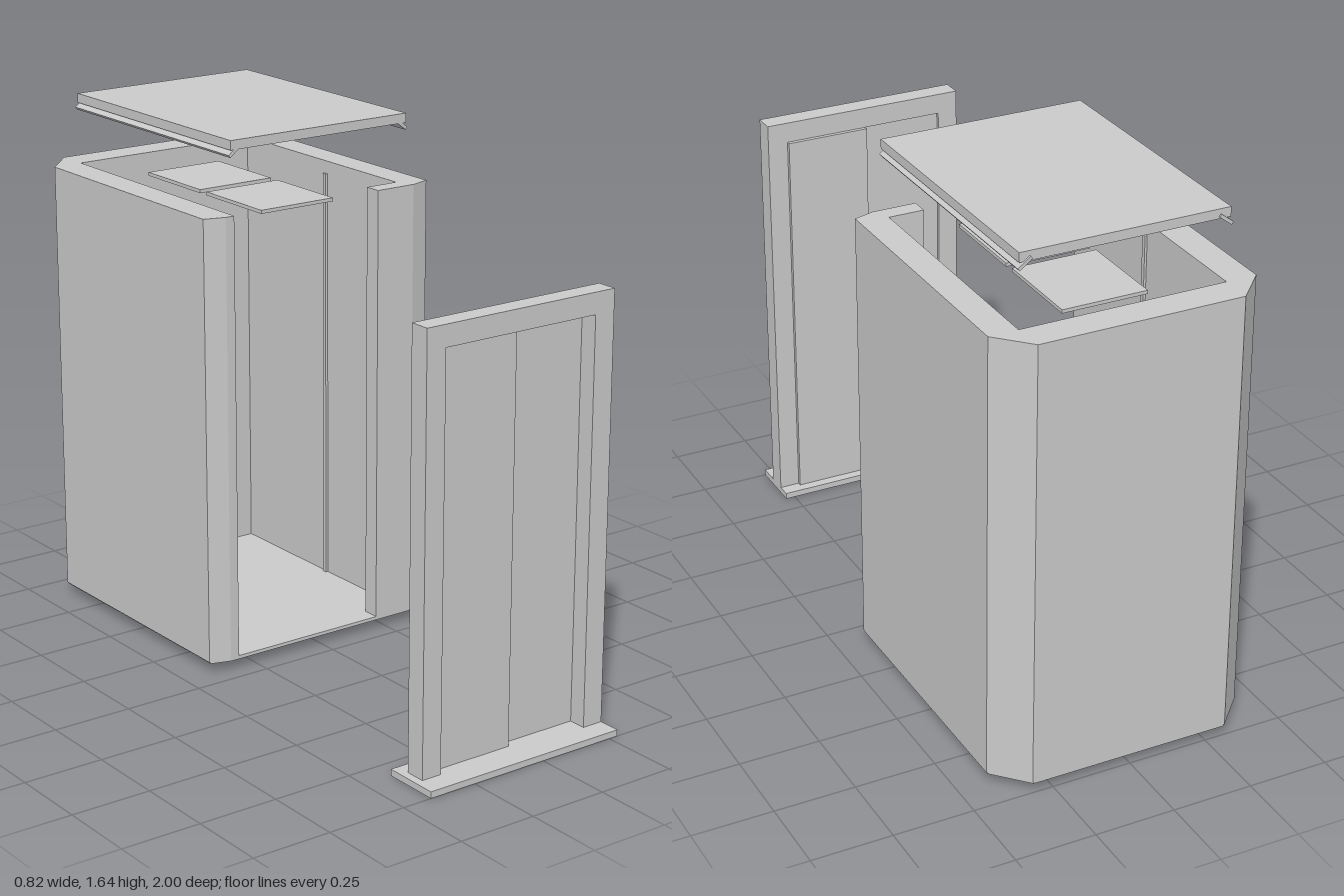
import * as THREE from 'three';

const material = new THREE.MeshStandardMaterial({ color: 0xcccccc, flatShading: true });

// Box given by its limits on each axis
function box(name, [x0, x1], [y0, y1], [z0, z1]) {
  const mesh = new THREE.Mesh(new THREE.BoxGeometry(x1 - x0, y1 - y0, z1 - z0), material);
  mesh.position.set((x0 + x1) / 2, (y0 + y1) / 2, (z0 + z1) / 2);
  mesh.name = name;
  return mesh;
}

// Floor-plan outline of [x, z] points, raised from y0 to y1
function prism(name, plan, y0, y1) {
  const shape = new THREE.Shape(plan.map(([x, z]) => new THREE.Vector2(x, -z)));
  const geometry = new THREE.ExtrudeGeometry(shape, { depth: y1 - y0, bevelEnabled: false });
  geometry.rotateX(-Math.PI / 2).translate(0, y0, 0);
  const mesh = new THREE.Mesh(geometry, material);
  mesh.name = name;
  return mesh;
}

function createCabin() {
  const cabin = new THREE.Group();
  cabin.name = 'cabin';

  // Chamfered outside, shared by the walls and the floor
  const outside = [
    [0.345, -0.055], [0.41, -0.075], [0.41, -0.9], [0.315, -1],
    [-0.315, -1], [-0.41, -0.9], [-0.41, -0.075], [-0.345, -0.055],
  ];
  // Inside of the walls, with a return panel beside the entrance
  const inside = [
    [-0.315, -0.055], [-0.315, -0.9], [0.32, -0.9], [0.32, -0.11], [0.21, -0.11], [0.21, -0.055],
  ];
  cabin.add(prism('cabinWalls', [...outside, ...inside], 0.035, 1.42));
  cabin.add(prism('cabinFloor', outside.map(([x, z]) => [x * 0.99, z]), 0.03, 0.041));

  // Slim vertical strips halfway along the side walls
  cabin.add(box('leftWallStrip', [0.312, 0.325], [0.04, 1.38], [-0.475, -0.46]));
  cabin.add(box('rightWallStrip', [-0.32, -0.308], [0.04, 1.38], [-0.475, -0.46]));

  // Two hanging ceiling panels
  for (const z of [-0.175, -0.5]) {
    cabin.add(box('ceilingPanel', [-0.135, 0.13], [1.375, 1.386], [z - 0.29, z]));
  }
  return cabin;
}

function createRoof() {
  const roof = new THREE.Group();
  roof.name = 'roof';
  roof.add(box('roofSlab', [-0.32, 0.32], [1.613, 1.642], [-0.9, -0.062]));

  // Slanted lips along both sides
  for (const side of [-1, 1]) {
    const lip = box('roofLip', [-0.024, 0.024], [-0.005, 0.005], [-0.905, -0.064]);
    lip.position.x = side * 0.304;
    lip.position.y = 1.609;
    lip.rotation.z = -side * 0.65;
    roof.add(lip);
  }
  return roof;
}

function createEntrance() {
  const entrance = new THREE.Group();
  entrance.name = 'entrance';
  entrance.add(box('sill', [-0.405, 0.28], [0, 0.02], [0.82, 1]));

  // Door surround: two jambs and a header in one outline
  const frame = new THREE.Shape([
    [-0.38, 0.02], [-0.315, 0.02], [-0.315, 1.26], [0.212, 1.26],
    [0.212, 0.02], [0.28, 0.02], [0.28, 1.325], [-0.38, 1.325],
  ].map(([x, y]) => new THREE.Vector2(x, y)));
  const geometry = new THREE.ExtrudeGeometry(frame, { depth: 0.065, bevelEnabled: false });
  const mesh = new THREE.Mesh(geometry.translate(0, 0, 0.865), material);
  mesh.name = 'doorFrame';
  entrance.add(mesh);

  // Sliding doors on two staggered tracks
  entrance.add(box('frontDoor', [-0.315, -0.045], [0.02, 1.26], [0.876, 0.9]));
  entrance.add(box('rearDoor', [-0.055, 0.215], [0.02, 1.26], [0.852, 0.874]));
  return entrance;
}

export function createModel() {
  const model = new THREE.Group();
  model.name = 'elevator';
  model.add(createCabin(), createRoof(), createEntrance());
  return model;
}
